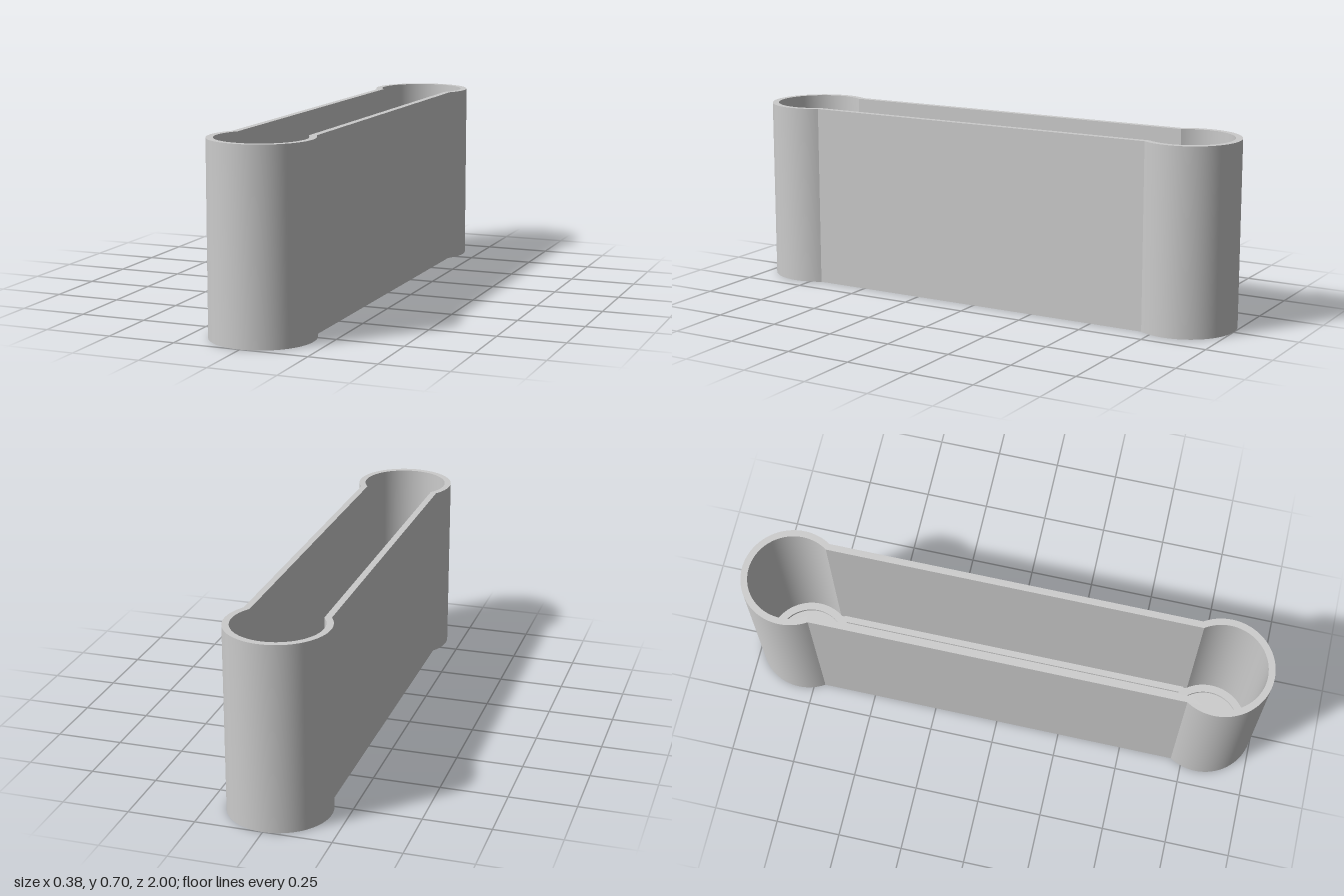
import * as THREE from 'three';

const HEIGHT = 0.7, END = 0.81;
const material = new THREE.MeshStandardMaterial({ color: 0xcccccc });

// Outline of a straight channel (half width w) joining two round ends (radius r)
function outline(PathType, r, w) {
  const a = Math.asin(w / r); // where the round end meets the straight side
  const path = new PathType();
  path.absarc(0, END, r, -Math.PI / 2 + a, 1.5 * Math.PI - a, false);
  path.absarc(0, -END, r, Math.PI / 2 + a, 2.5 * Math.PI - a, false);
  path.closePath();
  return path;
}

function ring(outer, inner, z) {
  const shape = new THREE.Shape().absarc(0, z, outer, 0, Math.PI * 2, false);
  const hole = new THREE.Path().absarc(0, z, inner, 0, Math.PI * 2, true);
  shape.holes.push(hole);
  return shape;
}

// Extrude a plan shape upwards from height y
function addPart(group, name, shape, y, height) {
  const geometry = new THREE.ExtrudeGeometry(shape, { depth: height, bevelEnabled: false, curveSegments: 40 });
  geometry.rotateX(-Math.PI / 2);
  const mesh = new THREE.Mesh(smoothSides(geometry), material);
  mesh.name = name;
  mesh.position.y = y;
  group.add(mesh);
}

// Smooth the curved sides while keeping real corners sharp
function smoothSides(geometry) {
  const p = geometry.attributes.position, n = geometry.attributes.normal;
  const buckets = new Map();
  const key = (i) => [p.getX(i), p.getY(i), p.getZ(i)].map((v) => Math.round(v * 1e4)).join();
  const normals = [];
  for (let i = 0; i < p.count; i++) {
    normals.push(new THREE.Vector3().fromBufferAttribute(n, i));
    const k = key(i);
    if (!buckets.has(k)) buckets.set(k, []);
    buckets.get(k).push(i);
  }
  for (const ids of buckets.values()) {
    for (const i of ids) {
      const sum = new THREE.Vector3();
      for (const j of ids) if (normals[i].dot(normals[j]) > 0.9) sum.add(normals[j]);
      sum.normalize();
      n.setXYZ(i, sum.x, sum.y, sum.z);
    }
  }
  return geometry;
}

export function createModel() {
  const group = new THREE.Group();
  group.name = 'openHousing';

  // Thin outer wall, full height
  const wall = outline(THREE.Shape, 0.19, 0.16);
  wall.holes.push(outline(THREE.Path, 0.165, 0.135));
  addPart(group, 'outerWall', wall, 0, HEIGHT);

  // Floor closing the bottom
  addPart(group, 'floor', outline(THREE.Shape, 0.165, 0.135), 0.002, 0.018);

  // Low ring around each round end
  for (const s of [-1, 1]) {
    addPart(group, s > 0 ? 'backFloorRing' : 'frontFloorRing', ring(0.165, 0.135, s * END), 0.018, 0.012);
  }

  // Low ledges along the foot of the straight walls
  for (const s of [-1, 1]) {
    const ledge = new THREE.Mesh(new THREE.BoxGeometry(0.025, 0.012, 1.4), material);
    ledge.name = s > 0 ? 'leftLedge' : 'rightLedge';
    ledge.position.set(s * 0.1225, 0.024, 0);
    group.add(ledge);
  }
  return group;
}
